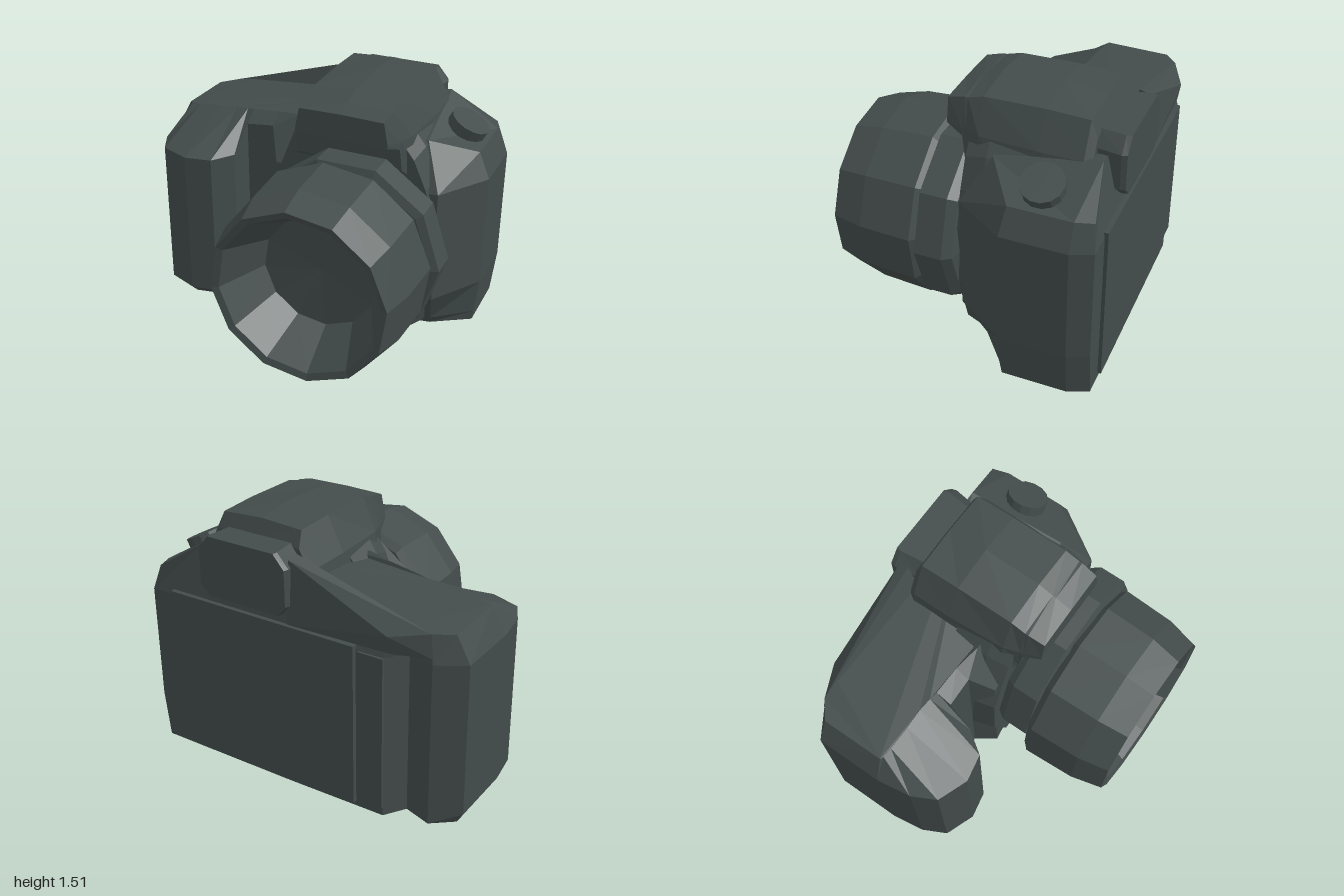
import * as THREE from 'three';
import { ConvexGeometry } from 'three/addons/geometries/ConvexGeometry.js';

const charcoal = new THREE.MeshStandardMaterial({ color: 0x434c4b });
const V = (x, y, z) => new THREE.Vector3(x, y, z);

// Adds a faceted mesh
function add(group, name, geometry) {
  const g = geometry.index ? geometry.toNonIndexed() : geometry;
  g.computeVertexNormals();
  const mesh = new THREE.Mesh(g, charcoal);
  mesh.name = name;
  group.add(mesh);
  return mesh;
}

// Skins matching rings of points, closing both ends; axis is 'y' or 'z'
function loft(rings, axis) {
  const pos = [];
  const tri = (a, b, c) => pos.push(...a.toArray(), ...b.toArray(), ...c.toArray());
  for (let r = 0; r < rings.length - 1; r++) {
    const lo = rings[r], hi = rings[r + 1], n = lo.length;
    for (let i = 0; i < n; i++) {
      const j = (i + 1) % n;
      tri(lo[i], lo[j], hi[j]);
      tri(lo[i], hi[j], hi[i]);
    }
  }
  const cap = (ring, sign) => {
    const flat = ring.map(p => new THREE.Vector2(p.x, axis === 'y' ? p.z : p.y));
    for (const [i, j, k] of THREE.ShapeUtils.triangulateShape(flat, [])) {
      const a = ring[i], b = ring[j], c = ring[k];
      const normal = b.clone().sub(a).cross(c.clone().sub(a));
      if (normal[axis] * sign > 0) tri(a, b, c); else tri(a, c, b);
    }
  };
  cap(rings[0], -1);
  cap(rings[rings.length - 1], 1);
  const g = new THREE.BufferGeometry();
  g.setAttribute('position', new THREE.Float32BufferAttribute(pos, 3));
  return g;
}

// Turned shape along z; profile holds [radius, z]
function turned(profile, sides, x, y, startAngle) {
  return new THREE.LatheGeometry(profile.map(p => new THREE.Vector2(...p)), sides, startAngle)
    .rotateX(Math.PI / 2).translate(x, y, 0);
}

function box(x0, x1, y0, y1, z0, z1) {
  return new THREE.BoxGeometry(x1 - x0, y1 - y0, z1 - z0)
    .translate((x0 + x1) / 2, (y0 + y1) / 2, (z0 + z1) / 2);
}

export function createModel() {
  const camera = new THREE.Group();
  camera.name = 'camera';

  // Body with grip: wall x, z, then the matching top-edge x, y, z, and wall height if raised
  const outline = [
    [-1, -0.6, -0.92, 1.12, -0.6], [-1, -0.2, -0.92, 1.13, -0.22],
    [-0.97, 0, -0.9, 1.13, -0.21], [-0.9, 0.14, -0.84, 1.135, -0.205],
    [-0.72, 0.21, -0.7, 1.15, -0.2], [-0.56, 0.18, -0.58, 1.16, -0.2],
    [-0.47, 0.05, -0.5, 1.17, -0.19], [-0.45, -0.09, -0.45, 1.18, -0.18, 1.12],
    [-0.28, -0.09, -0.28, 1.2, -0.17, 1.14], [-0.2, 0.03, -0.12, 1.22, -0.14],
    [0.8, 0.03, 0.68, 1.22, -0.12], [1, -0.28, 0.93, 1.12, -0.3],
    [1, -0.66, 0.93, 1.12, -0.66], [0.95, -0.78, 0.9, 1.12, -0.76],
    [0.6, -0.78, 0.62, 1.3, -0.7], [0, -0.78, 0, 1.25, -0.72],
    [-0.6, -0.77, -0.6, 1.16, -0.7], [-0.68, -0.65, -0.7, 1.15, -0.68],
    [-0.84, -0.7, -0.82, 1.13, -0.68],
  ];
  // The grip is bevelled at its foot, the other end tapers, and the
  // lens-side front corner is cut back toward the base
  const wall = (y, inset, cut) => outline.map(([x, z]) => {
    if (x === 0.8) return V(x - cut * 0.3, y, z - cut);
    if (x > 0.9) return V(x - 0.03 * (1 - y / 0.28), y, z);
    return V(x < -0.9 ? x + inset * 0.6 : x, y, z > 0.04 ? z - inset : z);
  });
  add(camera, 'body', loft([
    wall(0, 0.06, 0.17), wall(0.06, 0, 0.13), wall(0.28, 0, 0),
    outline.map(([x, z, , , , h = 0.97]) => V(x, h, z)),
    outline.map(([, , x, y, z]) => V(x, y, z)),
  ], 'y'));

  // Ridge rising from the thumb rest to the viewfinder
  add(camera, 'thumbRidge', new ConvexGeometry([
    V(-0.82, 1.13, -0.68), V(-0.84, 1.0, -0.695), V(-0.67, 1.16, -0.7),
    V(-0.62, 1.0, -0.76), V(-0.62, 1.1, -0.775),
    V(0, 1.38, -0.69), V(0, 1.36, -0.75), V(0, 1.0, -0.78), V(0, 1.2, -0.62),
  ]));

  // Housing between the body, the hump and the lens
  const housing = [
    [0.72, 0.05], [0.83, 0.4], [0.83, 0.8], [0.76, 1.02], [0.68, 1.2], [0.6, 1.3],
    [-0.04, 1.3], [-0.12, 1.18], [-0.27, 0.78], [-0.28, 0.4], [-0.15, 0.05],
  ];
  const housingRing = (s, z) => housing.map(([x, y]) => V(0.3 + (x - 0.3) * s, 0.62 + (y - 0.62) * s, z));
  add(camera, 'lensHousing', loft([
    housingRing(1, -0.3), housingRing(1, -0.08), housingRing(0.94, 0.05),
  ], 'z'));

  // Viewfinder hump: z, base y, base half width, shoulder y and half width, top y and half width, apex y
  const hump = [
    [-0.64, 1.0, 0.38, 1.25, 0.34, 1.38, 0.27, 1.39],
    [-0.6, 1.0, 0.42, 1.28, 0.36, 1.47, 0.26, 1.485],
    [-0.36, 1.0, 0.41, 1.28, 0.36, 1.48, 0.26, 1.51],
    [-0.01, 1.02, 0.38, 1.28, 0.34, 1.475, 0.26, 1.5],
    [0.08, 1.1, 0.32, 1.28, 0.31, 1.45, 0.26, 1.47],
    [0.1, 1.24, 0.31, 1.28, 0.305, 1.45, 0.26, 1.465],
    [0.2, 1.28, 0.275, 1.3, 0.275, 1.425, 0.25, 1.43],
  ];
  add(camera, 'viewfinderHump', loft(hump.map(([z, by, bw, sy, sw, ty, tw, ay]) => {
    const c = 0.28;
    return [V(c + bw, by, z), V(c + sw, sy, z), V(c + tw, ty, z), V(c, ay, z),
      V(c - tw, ty, z), V(c - sw, sy, z), V(c - bw, by, z)];
  }), 'z'));

  // Eyepiece, slimmer toward the hump
  const eye = [
    [0.51, 1.05], [0.57, 1.11], [0.57, 1.32], [0.5, 1.4],
    [0.05, 1.4], [-0.02, 1.32], [-0.02, 1.11], [0.03, 1.05],
  ];
  const eyeRing = (s, z) => eye.map(([x, y]) => V(0.275 + (x - 0.275) * s, y, z));
  add(camera, 'eyepiece', loft([eyeRing(0.97, -0.805), eyeRing(1, -0.775), eyeRing(0.92, -0.62)], 'z'));

  // Rear screen and the narrow strip beside it
  add(camera, 'screen', box(-0.43, 0.8, 0.03, 1.0, -0.8, -0.74));
  add(camera, 'screenStrip', box(-0.6, -0.445, 0.05, 0.97, -0.785, -0.74));

  // Dial on the sloping shoulder
  const dial = add(camera, 'dial', new THREE.CylinderGeometry(0.12, 0.12, 0.08, 14));
  dial.position.set(0.805, 1.2, -0.45);
  dial.rotation.z = -0.46;

  // Focus ring and hollow barrel
  add(camera, 'focusRing', turned(
    [[0.45, 0.03], [0.53, 0.05], [0.565, 0.1], [0.565, 0.26], [0.52, 0.28], [0, 0.28]],
    10, 0.34, 0.63, Math.PI / 2));
  add(camera, 'lensBarrel', turned(
    [[0, 0.25], [0.54, 0.27], [0.58, 0.31], [0.565, 0.62], [0.52, 0.805],
      [0.48, 0.79], [0.34, 0.5], [0, 0.47]], 12, 0.295, 0.605, 0.12));

  return camera;
}
